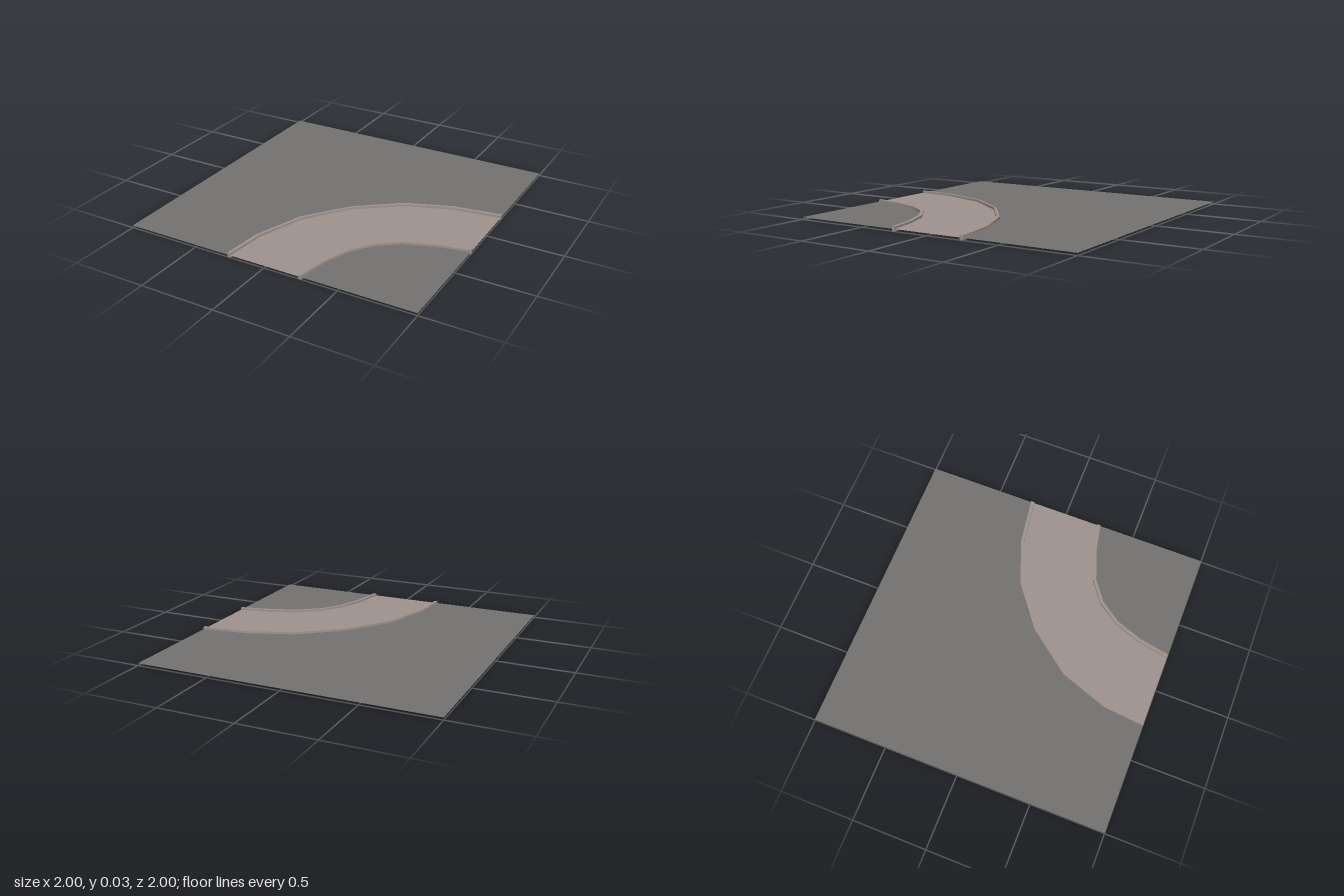
import * as THREE from 'three';
import { mergeGeometries } from 'three/addons/utils/BufferGeometryUtils.js';

const CURB_HEIGHT = 0.03;
const FLOOR_Y = 0.015;

// Bend outlines as [x, z], running from the front edge round to the +x edge
const outerA = [[-0.26, 1], [-0.237, 0.73], [-0.123, 0.4], [0.1, 0.11], [0.375, -0.1], [0.68, -0.215], [1, -0.262]];
const outerB = [[-0.24, 1], [-0.215, 0.73], [-0.105, 0.408], [0.108, 0.125], [0.388, -0.083], [0.685, -0.195], [1, -0.238]];
const innerA = [[0.238, 1], [0.277, 0.785], [0.345, 0.6], [0.447, 0.455], [0.588, 0.352], [0.79, 0.278], [1, 0.236]];
const innerB = [[0.26, 1], [0.298, 0.79], [0.363, 0.61], [0.46, 0.473], [0.6, 0.37], [0.797, 0.3], [1, 0.258]];

// Indexed geometry with smooth normals
function surface(points, index) {
  const g = new THREE.BufferGeometry();
  g.setAttribute('position', new THREE.Float32BufferAttribute(points.flat(), 3));
  g.setIndex(index);
  g.computeVertexNormals();
  return g;
}

// Ribbon between two outlines, each at its own height
function ribbon(left, yL, right, yR) {
  const points = [], index = [];
  left.forEach(([x, z], i) => {
    points.push([x, yL, z], [right[i][0], yR, right[i][1]]);
    if (i > 0) {
      const a = 2 * i - 2;
      index.push(a, a + 1, a + 3, a, a + 3, a + 2);
    }
  });
  return surface(points, index);
}

// Curb: top, two walls, underside and end caps
function curbGeometry(a, b) {
  const h = CURB_HEIGHT;
  const cap = (i, index) => surface(
    [[a[i][0], h, a[i][1]], [a[i][0], 0, a[i][1]], [b[i][0], 0, b[i][1]], [b[i][0], h, b[i][1]]], index);
  return mergeGeometries([
    ribbon(a, h, b, h), ribbon(b, h, b, 0), ribbon(b, 0, a, 0), ribbon(a, 0, a, h),
    cap(0, [0, 1, 2, 0, 2, 3]), cap(a.length - 1, [0, 2, 1, 0, 3, 2]),
  ]);
}

// Flat sheet from an [x, z] outline
function sheet(outline) {
  const shape = new THREE.Shape(outline.map(([x, z]) => new THREE.Vector2(x, -z)));
  return new THREE.ShapeGeometry(shape).rotateX(-Math.PI / 2).translate(0, FLOOR_Y, 0);
}

export function createModel() {
  const model = new THREE.Group();
  model.name = 'curvedPathTile';
  const ground = new THREE.MeshStandardMaterial({ color: 0x757372, side: THREE.DoubleSide });
  ground.name = 'groundGrey';
  const paving = new THREE.MeshStandardMaterial({ color: 0xa09390, side: THREE.DoubleSide });
  paving.name = 'pavingTaupe';

  const add = (name, geometry, material) => {
    const mesh = new THREE.Mesh(geometry, material);
    mesh.name = name;
    model.add(mesh);
  };

  // Ground on both sides of the bend
  add('outerGround', sheet([...outerA, [1, -1], [-1, -1], [-1, 1]]), ground);
  add('innerGround', sheet([...innerB, [1, 1]]), ground);

  // Path and its raised curbs
  add('path', ribbon(outerB, FLOOR_Y, innerA, FLOOR_Y), paving);
  add('outerCurb', curbGeometry(outerA, outerB), paving);
  add('innerCurb', curbGeometry(innerA, innerB), paving);
  return model;
}
